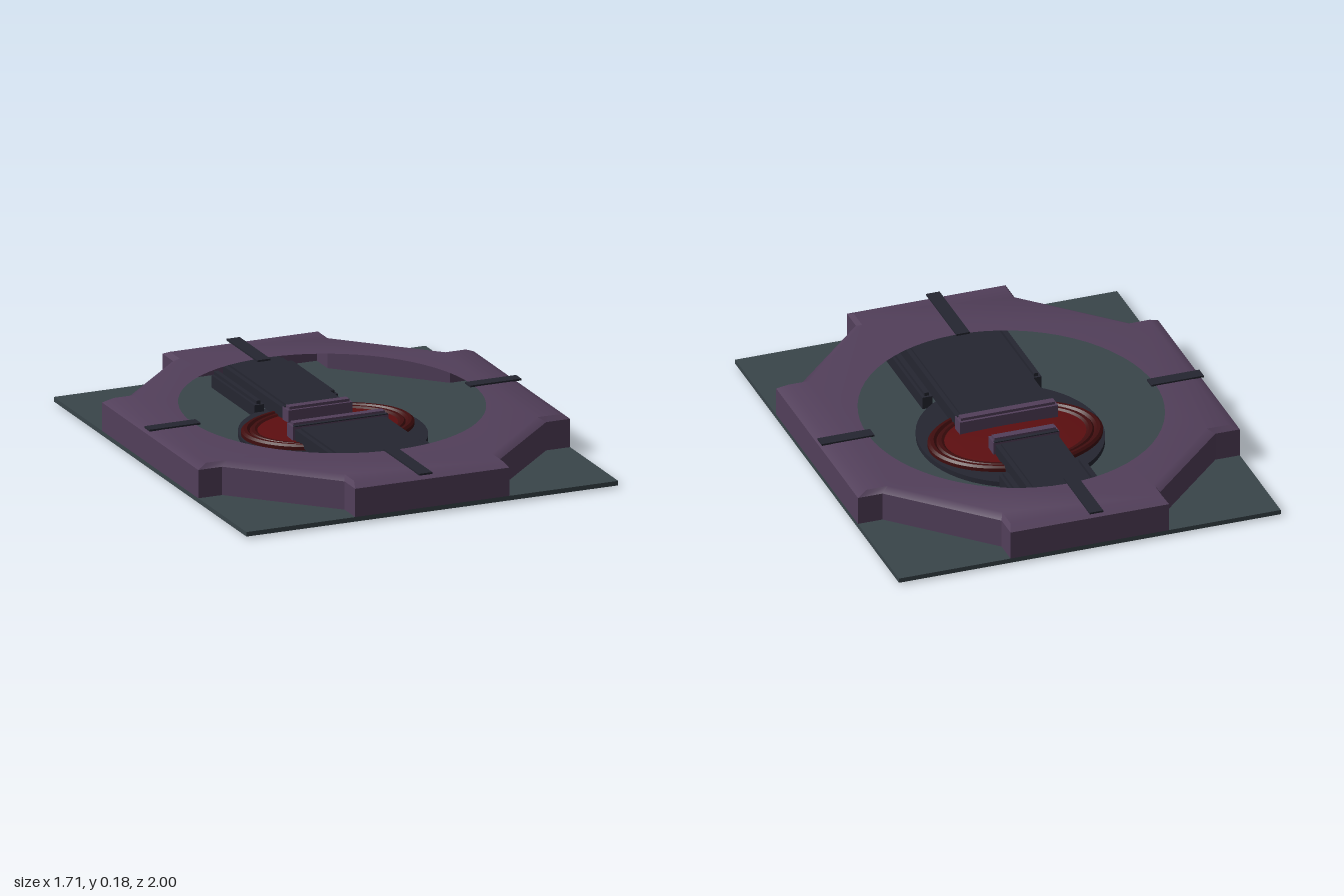
import * as THREE from 'three';
import { mergeGeometries, toCreasedNormals } from 'three/addons/utils/BufferGeometryUtils.js';

const material = (name, color, side = THREE.FrontSide) => {
  const m = new THREE.MeshStandardMaterial({ color, side });
  m.name = name;
  return m;
};

export function createModel() {
  const model = new THREE.Group();
  model.name = 'floorHatch';
  const purple = material('purple metal', 0x523f5a, THREE.DoubleSide);
  const teal = material('dark teal', 0x39454a);
  const dark = material('dark blue grey', 0x252631);
  const red = material('deep red', 0x5c0e10);
  const darkRed = material('dark red', 0x400d0e);

  const add = (name, geometry, mat, parent = model) => {
    const mesh = new THREE.Mesh(geometry, mat);
    mesh.name = name;
    parent.add(mesh);
    return mesh;
  };
  // Box given by its minimum and maximum along each axis
  const box = (name, [x0, x1], [y0, y1], [z0, z1], mat, parent) => {
    const g = new THREE.BoxGeometry(x1 - x0, y1 - y0, z1 - z0);
    g.translate((x0 + x1) / 2, (y0 + y1) / 2, (z0 + z1) / 2);
    return add(name, g, mat, parent);
  };

  box('basePlate', [-0.855, 0.855], [0.01, 0.03], [-1, 1], teal);

  // Hollow frame: cross-shaped octagon, walls, chamfer and a top with an oval hole
  const outline = (quarter) => {
    const back = [...quarter].reverse();
    return [
      ...quarter,
      ...back.map(([x, z]) => [x, -z]),
      ...quarter.map(([x, z]) => [-x, -z]),
      ...back.map(([x, z]) => [-x, z]),
    ];
  };
  const outer = outline([[0.355, 1], [0.355, 0.89], [0.745, 0.5], [0.855, 0.5]]);
  const inner = outline([[0.34, 0.955], [0.34, 0.855], [0.715, 0.48], [0.81, 0.48]]);
  const band = (low, y0, high, y1) => {
    const pos = [];
    low.forEach((a, i) => {
      const j = (i + 1) % low.length;
      const A = [a[0], y0, a[1]], B = [low[j][0], y0, low[j][1]];
      const C = [high[j][0], y1, high[j][1]], D = [high[i][0], y1, high[i][1]];
      pos.push(...A, ...B, ...C, ...A, ...C, ...D);
    });
    return new THREE.BufferGeometry().setAttribute('position', new THREE.Float32BufferAttribute(pos, 3));
  };
  const topShape = new THREE.Shape(inner.map(([x, z]) => new THREE.Vector2(x, -z)));
  topShape.holes.push(new THREE.Path().absellipse(0, 0.04, 0.642, 0.68, 0, Math.PI * 2, true));
  const top = new THREE.ShapeGeometry(topShape, 32).rotateX(-Math.PI / 2).translate(0, 0.175, 0).toNonIndexed();
  top.deleteAttribute('uv');
  top.deleteAttribute('normal');
  const frame = mergeGeometries([band(outer, 0.03, outer, 0.155), band(outer, 0.155, inner, 0.175), top]);
  add('frame', toCreasedNormals(frame, 0.6), purple);

  // Dark strips lying on the four arms
  box('backStrip', [-0.06, 0], [0.174, 0.182], [-1, -0.68], dark);
  box('frontStrip', [-0.06, 0], [0.174, 0.182], [0.63, 1], dark);
  box('leftStrip', [0.62, 0.855], [0.174, 0.182], [-0.06, -0.005], dark);
  box('rightStrip', [-0.855, -0.62], [0.174, 0.182], [-0.06, -0.005], dark);

  // Oval bed and red dish
  const bed = new THREE.CylinderGeometry(1, 1, 0.025, 64);
  bed.scale(0.395, 1, 0.425).translate(0, 0.04, -0.03);
  add('ovalBed', bed, dark);

  const dish = new THREE.Group();
  dish.name = 'dish';
  dish.position.set(-0.005, 0, -0.075);
  model.add(dish);
  const oval = (name, profile, mat) => {
    const g = new THREE.LatheGeometry(profile.map(([r, y]) => new THREE.Vector2(r, y)), 64);
    add(name, toCreasedNormals(g.scale(0.38, 1, 0.275), 0.5), mat, dish);
  };
  oval('outerRim', [[1, 0.04], [1, 0.068], [0.97, 0.077], [0.93, 0.077], [0.9, 0.066]], darkRed);
  oval('innerRim', [[0.9, 0.066], [0.88, 0.074], [0.84, 0.074], [0.81, 0.067]], darkRed);
  oval('lens', [[0.81, 0.067], [0.6, 0.074], [0.3, 0.079], [0, 0.081]], red);
  const cap = new THREE.SphereGeometry(1, 32, 8, 0, Math.PI * 2, Math.PI / 2, Math.PI / 2);
  add('lensUnderside', cap.scale(0.1, 0.009, 0.065).translate(0.005, 0.0105, 0.01), red, dish);

  // Clamp arm reaching in from one end: s is +1 for front and -1 for back
  const clamp = (name, s, cx, half, tip, railX, railStart) => {
    const g = new THREE.Group();
    g.name = name;
    model.add(g);
    const span = (a, b) => [Math.min(s * a, s * b), Math.max(s * a, s * b)];
    const wide = (w) => [cx - w, cx + w];
    const panelStart = tip + 0.06;
    box('panel', wide(half), [0.06, 0.118], span(panelStart, 0.85), dark, g);
    box('panelTop', wide(half - 0.02), [0.118, 0.128], span(panelStart + 0.015, 0.85), dark, g);
    // Stepped purple jaw at the tip
    box('jaw', wide(half + 0.01), [0.07, 0.13], span(tip, tip + 0.06), purple, g);
    box('jawRidge', wide(half), [0.13, 0.142], span(tip + 0.012, tip + 0.045), purple, g);
    box('jawSeam', wide(half + 0.005), [0.13, 0.134], span(tip + 0.048, tip + 0.065), dark, g);
    // Guide rails on both sides
    for (const m of [-1, 1]) {
      const x = cx + m * railX;
      box('rail', [x - 0.022, x + 0.022], [0.03, 0.085], span(railStart, 0.85), dark, g);
      box('railRidge', [x - 0.01, x + 0.01], [0.085, 0.1], span(railStart + 0.01, 0.85), dark, g);
    }
  };
  clamp('frontClamp', 1, -0.005, 0.21, 0.0, 0.245, 0.33);
  clamp('backClamp', -1, -0.005, 0.138, 0.15, 0.17, 0.4);

  return model;
}
